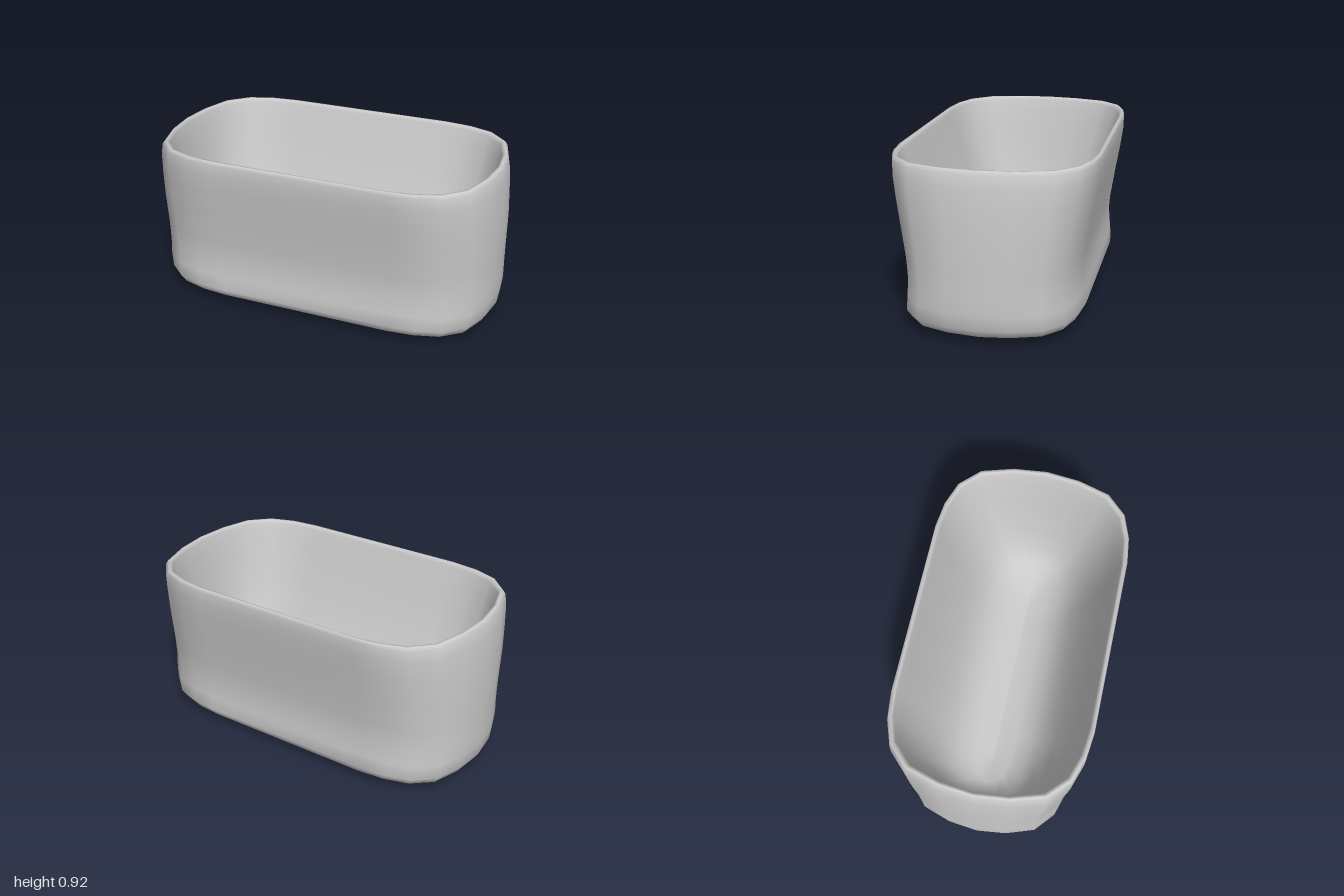
import * as THREE from 'three';

// One quarter of the rounded oblong outline, as fractions of half width and half depth
const QUARTER = [[1, 0], [0.98, 0.35], [0.925, 0.68], [0.813, 0.88], [0.67, 0.968], [0.515, 1]];

function outline() {
  const back = [...QUARTER].reverse();
  return [
    ...QUARTER,
    ...back.map(([x, z]) => [-x, z]),
    ...QUARTER.slice(1).map(([x, z]) => [-x, -z]),
    ...back.slice(0, -1).map(([x, z]) => [x, -z]),
  ];
}

// Wall profile from the underside, up the outside, over the rim and down the
// bowl-shaped inside: [half width, half depth, height]
const PROFILE = [
  [0.5, 0, 0.003], [0.64, 0.2, 0.007], [0.81, 0.31, 0.017], [0.91, 0.405, 0.032], [0.963, 0.46, 0.057],
  [0.99, 0.484, 0.1], [1, 0.476, 0.18], [1, 0.467, 0.28], [1, 0.476, 0.4], [1, 0.504, 0.58],
  [0.992, 0.53, 0.73], [0.984, 0.546, 0.84], [0.972, 0.548, 0.905], [0.957, 0.542, 0.925],
  [0.945, 0.528, 0.925], [0.936, 0.518, 0.905],
  [0.922, 0.497, 0.82], [0.905, 0.46, 0.69], [0.885, 0.412, 0.53], [0.86, 0.352, 0.37],
  [0.825, 0.285, 0.22], [0.77, 0.205, 0.12], [0.69, 0.11, 0.063], [0.5, 0, 0.045],
];

// Skin the rings of the profile into one smooth surface
function loft(profile, ring) {
  const n = ring.length;
  const positions = profile.flatMap(([w, d, y]) => ring.flatMap(([x, z]) => [x * w, y, z * d]));
  const index = [];
  for (let i = 0; i < profile.length - 1; i++) {
    for (let j = 0; j < n; j++) {
      const a = i * n + j;
      const b = i * n + (j + 1) % n;
      index.push(a, a + n, b, b, a + n, b + n);
    }
  }
  const geometry = new THREE.BufferGeometry();
  geometry.setAttribute('position', new THREE.Float32BufferAttribute(positions, 3));
  geometry.setIndex(index);
  geometry.computeVertexNormals();
  return geometry;
}

export function createModel() {
  const group = new THREE.Group();
  group.name = 'openTub';
  const material = new THREE.MeshStandardMaterial({ color: 0xcccccc });
  const shell = new THREE.Mesh(loft(PROFILE, outline()), material);
  shell.name = 'tubShell';
  group.add(shell);
  return group;
}
